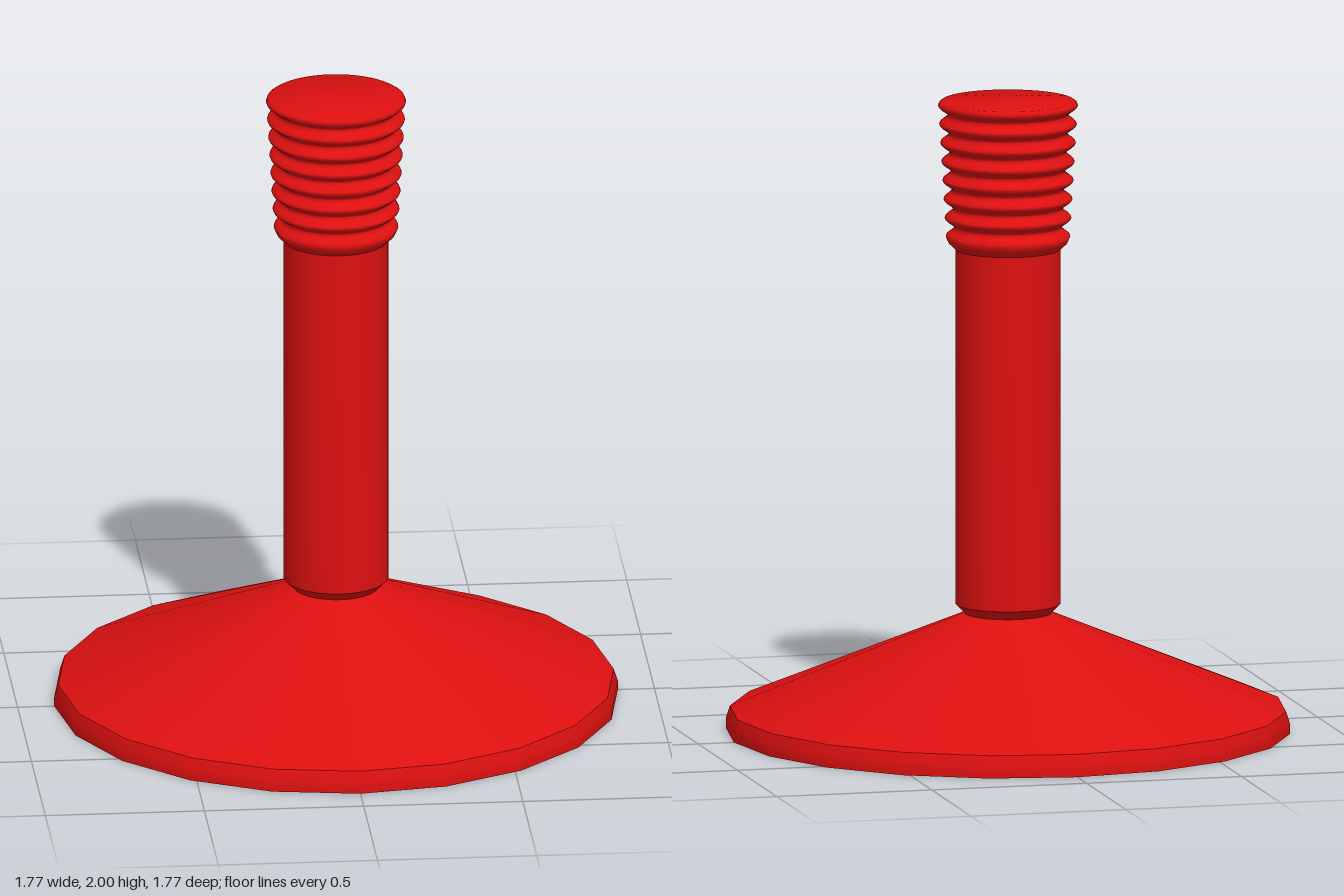
import * as THREE from 'three';
import { toCreasedNormals } from 'three/addons/utils/BufferGeometryUtils.js';

const red = new THREE.MeshStandardMaterial({ color: 0xdd1010 });

// Revolve a bottom-to-top [radius, height] profile around the y axis
function turned(name, profile, sides, crease) {
  const points = profile.map(([r, y]) => new THREE.Vector2(r, y));
  const mesh = new THREE.Mesh(toCreasedNormals(new THREE.LatheGeometry(points, sides), crease), red);
  mesh.name = name;
  return mesh;
}

export function createModel() {
  const group = new THREE.Group();
  group.name = 'plunger';

  // Wide faceted cone with a low bevelled rim and a flat underside
  group.add(turned('base',
    [[0, 0], [0.885, 0], [0.885, 0.03], [0.872, 0.07], [0.135, 0.375]], 20, 0.33));

  // Plain round shaft with a chamfered foot
  group.add(turned('shaft',
    [[0, 0.375], [0.135, 0.375], [0.165, 0.405], [0.165, 1.535]], 48, 0.5));

  // Ribbed grip: eight rounded ridges, widening slightly towards the top
  const ridges = 8, first = 1.57, pitch = 0.0594, steps = 12;
  const grip = [[0.165, 1.53], [0.186, 1.55]];
  for (let i = 0; i <= (ridges - 1) * steps; i++) {
    const t = i / steps;
    const wave = 0.5 + 0.5 * Math.cos(t * Math.PI * 2);
    const outer = 0.195 + 0.024 * t / (ridges - 1);
    grip.push([outer - 0.028 * (1 - wave), first + pitch * t]);
  }
  grip.push([0.216, 1.994], [0.207, 2], [0, 2]);
  group.add(turned('ribbedGrip', grip, 48, 0.9));

  return group;
}
